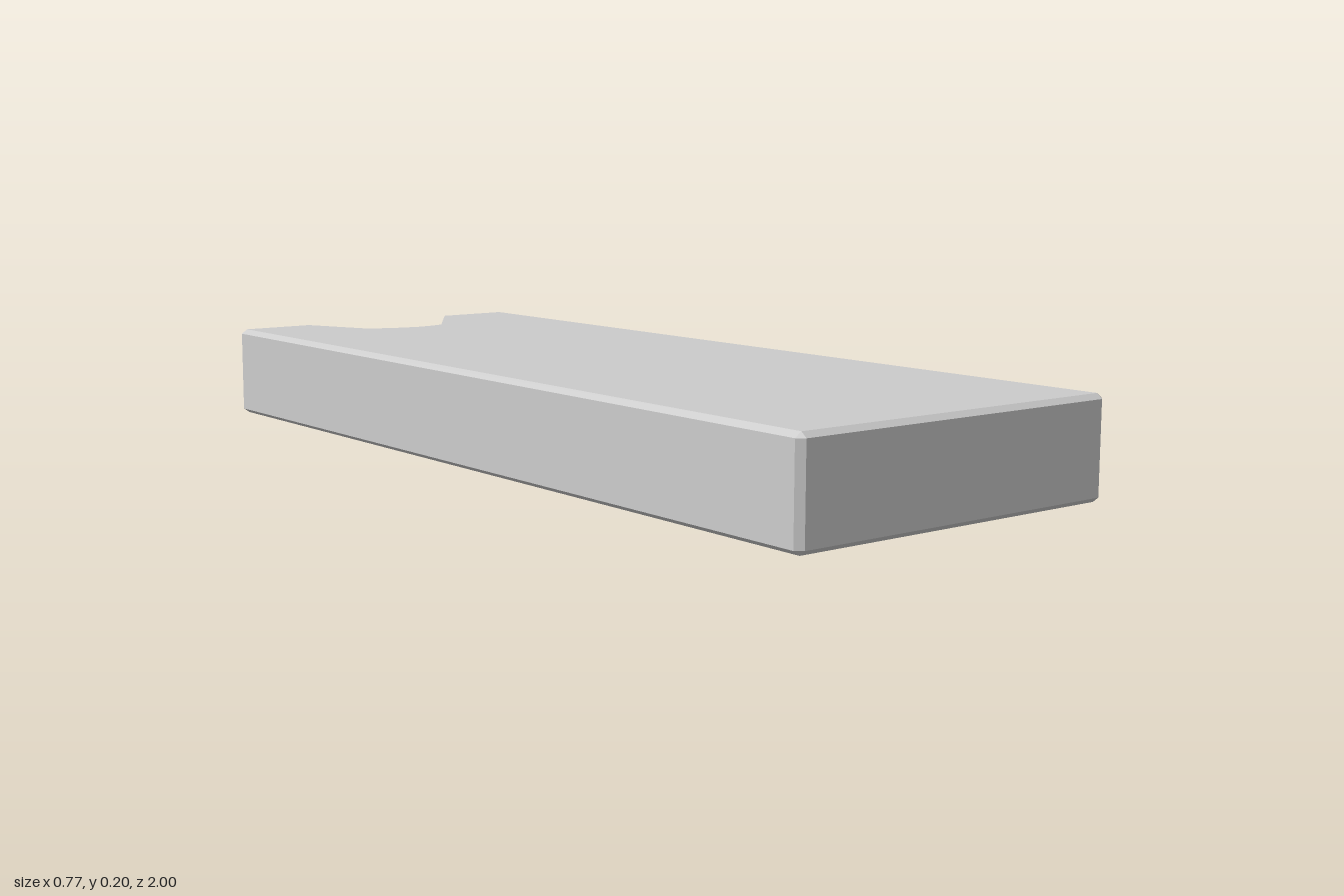
import * as THREE from 'three';

const X = 0.383, Z = 1, H = 0.204;          // half width, half length, height
const CX = 0.014, CY = 0.01, CZ = 0.012;    // chamfer sizes
const FLOOR = 0.174;                        // height of the thumb notch floor

// Thumb notch in plan, from its left end to its right end
const NOTCH = [[0.206, -1], [0.07, -0.8], [0.035, -0.784], [0, -0.786], [-0.04, -0.792],
  [-0.08, -0.803], [-0.127, -0.828], [-0.206, -1]];
NOTCH[2] = [0.035, -0.791];

// Point of a notch side wall where it meets the inset top face
function slide(end, next) {
  const t = CZ / (next[1] - end[1]);
  return [end[0] + (next[0] - end[0]) * t, end[1] + CZ];
}

// Plan outline: full octagon or inset rectangle (doubled corners), with or without notch
function outline(inset, notched) {
  const xi = X - CX, zi = Z - CZ;
  const x = inset ? xi : X, z = inset ? zi : Z;
  let back = NOTCH.map(([px, pz]) => [px, notched ? pz : -z]);
  if (notched && inset) {
    const n = NOTCH.length;
    back[0] = slide(NOTCH[0], NOTCH[1]);
    back[n - 1] = slide(NOTCH[n - 1], NOTCH[n - 2]);
  }
  return [[-xi, z], [xi, z], [x, zi], [x, -zi], [xi, -z], ...back, [-xi, -z], [-x, -zi], [-x, zi]];
}

function bodyGeometry() {
  const pos = [];
  const tri = (a, b, c) => {
    const area = new THREE.Triangle(a, b, c).getArea();
    if (area > 1e-9) for (const p of [a, b, c]) pos.push(p.x, p.y, p.z);
  };
  const ring = (y, inset, notched) =>
    outline(inset, notched).map(([x, z]) => new THREE.Vector3(x, y, z));

  // The step between the two rings at FLOOR forms the notch floor
  const rings = [
    ring(0, true, false), ring(CY, false, false), ring(FLOOR, false, false),
    ring(FLOOR, false, true), ring(H - CY, false, true), ring(H, true, true),
  ];
  for (let r = 0; r < rings.length - 1; r++) {
    const a = rings[r], b = rings[r + 1];
    for (let i = 0; i < a.length; i++) {
      const j = (i + 1) % a.length;
      tri(a[i], a[j], b[j]);
      tri(a[i], b[j], b[i]);
    }
  }

  // Top face and underside
  const cap = (pts, up) => {
    const unique = pts.filter((p, i) => p.distanceTo(pts[(i + 1) % pts.length]) > 1e-6);
    const flat = unique.map((p) => new THREE.Vector2(p.x, -p.z));
    for (const [i, j, k] of THREE.ShapeUtils.triangulateShape(flat, [])) {
      if (up) tri(unique[i], unique[j], unique[k]);
      else tri(unique[i], unique[k], unique[j]);
    }
  };
  cap(rings[rings.length - 1], true);
  const xi = X - CX, zi = Z - CZ;
  cap([[-xi, zi], [xi, zi], [xi, -zi], [-xi, -zi]].map(([x, z]) => new THREE.Vector3(x, 0, z)), false);

  const geometry = new THREE.BufferGeometry();
  geometry.setAttribute('position', new THREE.Float32BufferAttribute(pos, 3));
  geometry.computeVertexNormals();
  return geometry;
}

export function createModel() {
  const group = new THREE.Group();
  group.name = 'notchedBlock';
  const material = new THREE.MeshStandardMaterial({ color: 0xcccccc, flatShading: true });
  const body = new THREE.Mesh(bodyGeometry(), material);
  body.name = 'chamferedBody';
  group.add(body);
  return group;
}
